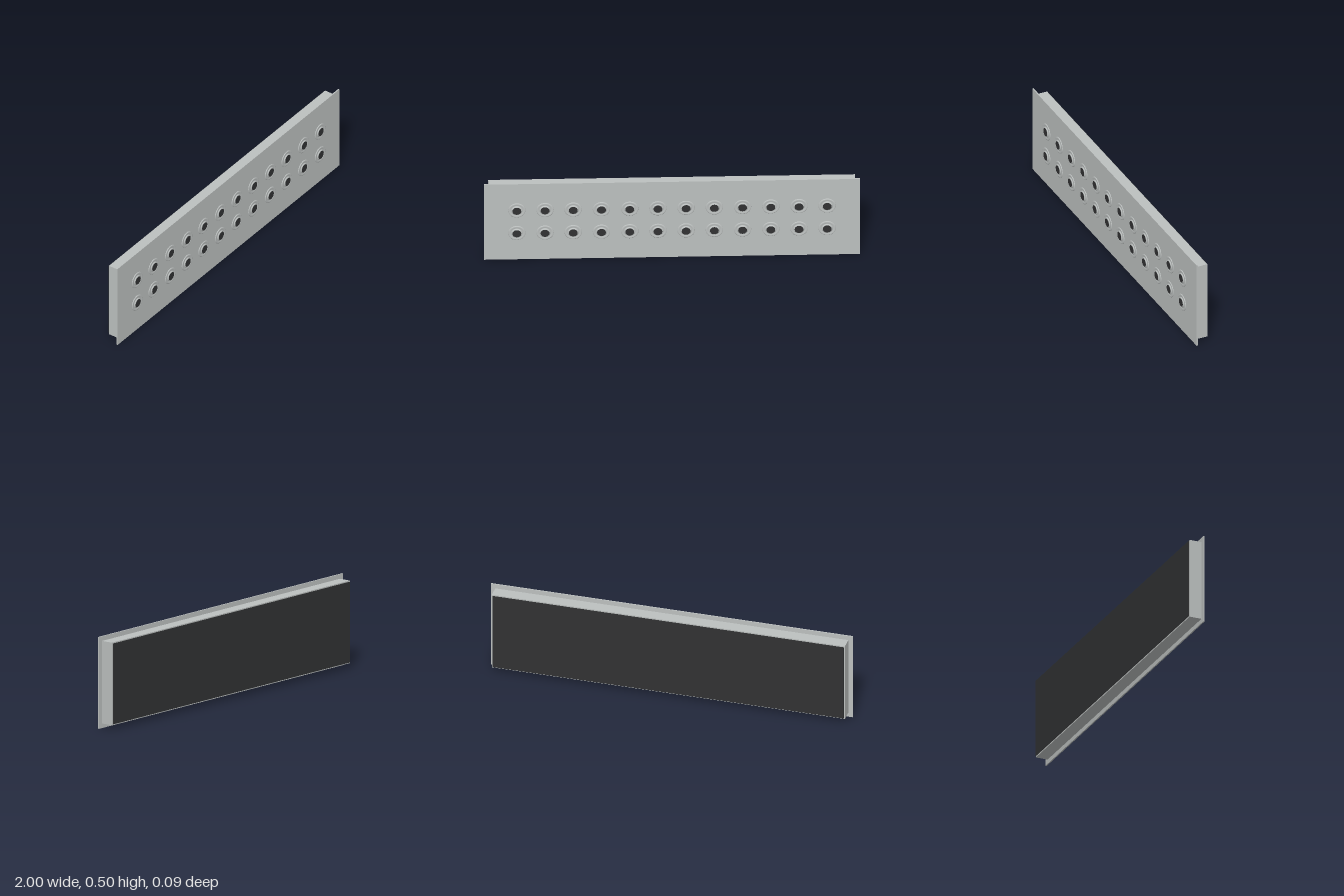
import * as THREE from 'three';

export function createModel() {
  const model = new THREE.Group();
  const metal = new THREE.MeshStandardMaterial({ name: 'grey metal', color: 0xbcc0bf });
  const dark = new THREE.MeshStandardMaterial({ name: 'dark', color: 0x313233 });

  const add = (parent, name, geometry, material, x, y, z) => {
    const mesh = new THREE.Mesh(geometry, material);
    mesh.name = name;
    mesh.position.set(x, y, z);
    parent.add(mesh);
    return mesh;
  };
  const slab = (name, w, h, z0, z1, material) =>
    add(model, name, new THREE.BoxGeometry(w, h, z1 - z0), material, 0, 0.25, (z0 + z1) / 2);

  // Face plate, shallow box behind it and the dark back opening
  slab('facePlate', 2, 0.5, 0.03, 0.037, metal);
  slab('housing', 1.95, 0.45, -0.038, 0.03, metal);
  slab('backCore', 1.936, 0.436, -0.041, -0.038, metal);
  slab('backPanel', 1.94, 0.44, -0.043, -0.0405, dark);

  // Nozzle: low outer ring, groove and raised ball with a dark mouth
  const profile = [
    [0.0465, 0], [0.046, 0.0025], [0.043, 0.004], [0.036, 0.004], [0.031, 0.0015],
    [0.0285, 0.003], [0.0265, 0.006], [0.0235, 0.0078], [0, 0.0078],
  ].map(([r, h]) => new THREE.Vector2(r, h));
  const ringGeometry = new THREE.LatheGeometry(profile, 28).rotateX(Math.PI / 2);
  const mouthGeometry = new THREE.CircleGeometry(0.0235, 24);

  for (const y of [0.175, 0.325]) {
    for (let i = 0; i < 12; i++) {
      const nozzle = new THREE.Group();
      nozzle.name = 'nozzle';
      nozzle.position.set(-0.825 + i * 0.15, y + 0.001, 0.037);
      add(nozzle, 'nozzleRing', ringGeometry, metal, 0, 0, 0);
      add(nozzle, 'nozzleMouth', mouthGeometry, dark, 0, 0, 0.0082);
      model.add(nozzle);
    }
  }
  return model;
}
